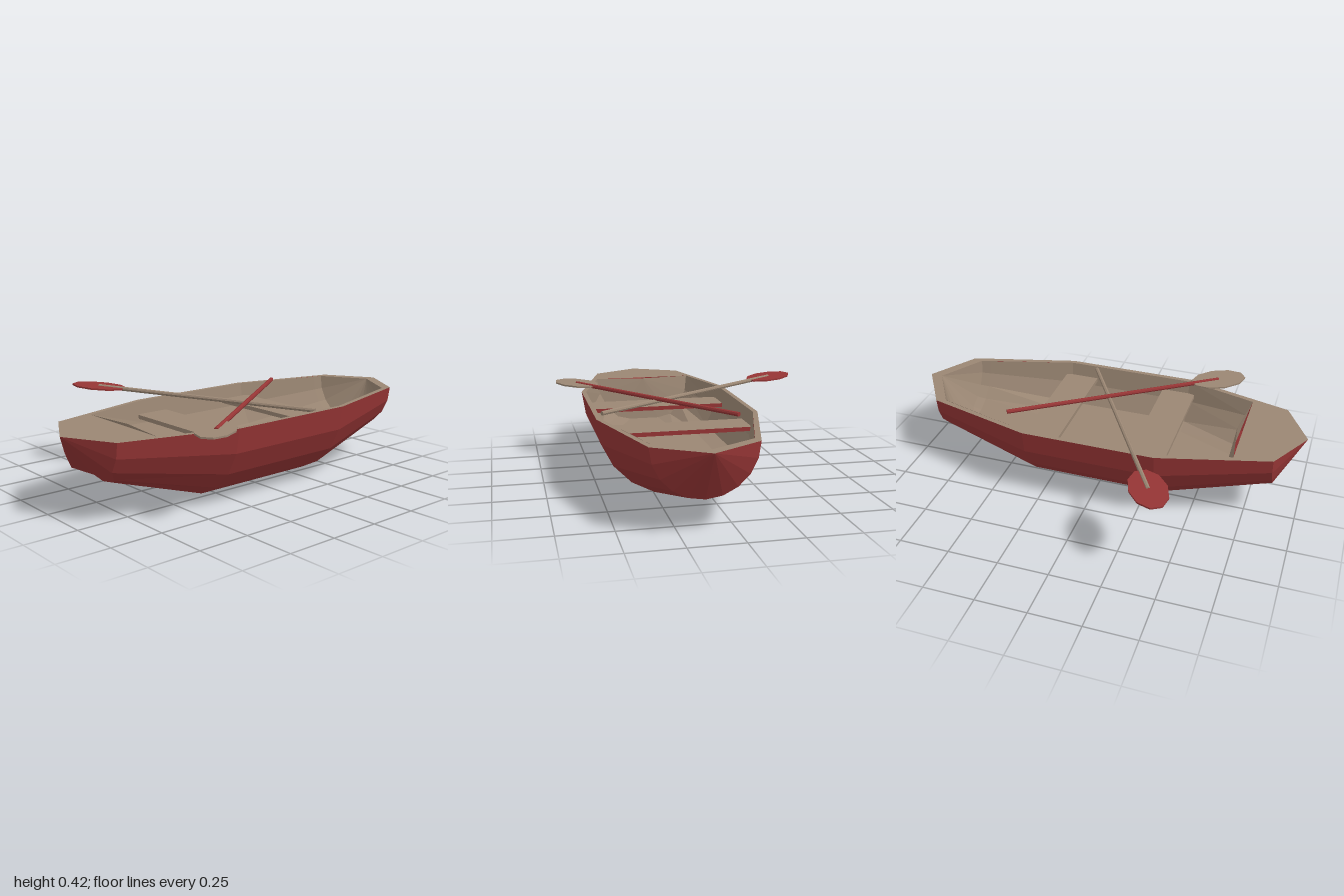
import * as THREE from 'three';

const RIM = 0.38, MID = 0.138, FLOOR = 0.155, SIDES = 10;
const paint = (color) => new THREE.MeshStandardMaterial({ color, flatShading: true, side: THREE.DoubleSide });
const red = paint(0x963535);
const wood = paint(0x9a8673);

// Half ring of radius r hanging below the rim; shift may move single points along x
function halfRing(x, r, floor = -1, shift = () => 0) {
  return Array.from({ length: SIDES + 1 }, (_, i) => {
    const t = (i / SIDES) * Math.PI;
    const y = Math.max(RIM - r * Math.sin(t), floor);
    return new THREE.Vector3(x + shift(i, y), y, MID + r * Math.cos(t));
  });
}

// Skin between successive rings, facing outward or inward
function loft(rings, inward = false) {
  const pos = [];
  const tri = (a, b, c) => (inward ? [a, c, b] : [a, b, c]).forEach((p) => pos.push(p.x, p.y, p.z));
  for (let k = 0; k < rings.length - 1; k++) {
    const a = rings[k], b = rings[k + 1];
    for (let i = 0; i < SIDES; i++) {
      tri(a[i], a[i + 1], b[i]);
      tri(a[i + 1], b[i + 1], b[i]);
    }
  }
  const g = new THREE.BufferGeometry();
  g.setAttribute('position', new THREE.Float32BufferAttribute(pos, 3));
  g.computeVertexNormals();
  return g;
}

function add(parent, name, geometry, material) {
  const mesh = new THREE.Mesh(geometry, material);
  mesh.name = name;
  parent.add(mesh);
  return mesh;
}

// Symmetric outline in plan from (x, half width) points, running from one end to the other
function outline(points) {
  const back = points.filter(([, w]) => w > 0).reverse().map(([x, w]) => [x, -w]);
  return [...points, ...back].map(([x, w]) => new THREE.Vector2(x, w));
}

// Oar with its blade centred on `from` and its handle ending at `to`
function makeOar(name, from, to, shaftMaterial, bladeMaterial, radius) {
  const oar = new THREE.Group();
  oar.name = name;
  const dir = to.clone().sub(from);
  const length = dir.length();
  const shaft = add(oar, 'oarShaft', new THREE.CylinderGeometry(radius, radius, length, 8), shaftMaterial);
  shaft.rotation.z = Math.PI / 2;
  shaft.position.x = length / 2;
  const blade = add(oar, 'oarBlade', new THREE.CylinderGeometry(1, 1, 0.008, SIDES), bladeMaterial);
  blade.scale.set(0.148, 1, 0.088);
  oar.position.copy(from);
  oar.quaternion.setFromUnitVectors(new THREE.Vector3(1, 0, 0), dir.normalize());
  return oar;
}

export function createModel() {
  const boat = new THREE.Group();
  boat.name = 'rowingBoat';

  // Outer hull, with the lower edge of one end cut back
  const cutBack = (i) => (i >= 4 && i <= 6 ? 0.075 : i === 3 ? 0.04 : 0);
  add(boat, 'hull', loft([
    halfRing(-1, 0),
    halfRing(-0.872, 0.235, -1, cutBack),
    halfRing(-0.34, 0.38),
    halfRing(0.32, 0.38),
    halfRing(0.852, 0.235),
    halfRing(1, 0),
  ]), red);

  // Inner lining with flat floor; the first two rings form the leaning bulkhead
  const lean = (i, y) => 0.06 * (RIM - y) / (RIM - FLOOR);
  add(boat, 'innerLining', loft([
    halfRing(-0.66, 0),
    halfRing(-0.69, 0.258, FLOOR, lean),
    halfRing(-0.335, 0.357, FLOOR),
    halfRing(0.32, 0.357, FLOOR),
    halfRing(0.76, 0.231, FLOOR),
    halfRing(0.805, 0.22, FLOOR),
    halfRing(0.94, 0),
  ], true), wood);

  // Rim and end deck in one flat plate
  const plate = new THREE.Shape(outline([
    [-1, 0], [-0.872, 0.235], [-0.34, 0.38], [0.32, 0.38], [0.852, 0.235], [1, 0],
  ]));
  plate.holes.push(new THREE.Path(outline([
    [-0.69, 0.258], [-0.335, 0.357], [0.32, 0.357], [0.805, 0.22], [0.94, 0],
  ])));
  const rim = add(boat, 'rimAndDeck', new THREE.ShapeGeometry(plate).rotateX(-Math.PI / 2), wood);
  rim.position.set(0, RIM, MID);

  // Bench seats, red on the edge facing +x and below
  for (const x of [-0.282, 0.263]) {
    const seat = add(boat, 'seat', new THREE.BoxGeometry(0.175, 0.02, 0.69), [red, wood, wood, red, wood, wood]);
    seat.position.set(x, 0.305, MID);
  }

  // Crossed oars
  boat.add(makeOar('woodenShaftOar', new THREE.Vector3(-0.39, 0.412, -0.518),
    new THREE.Vector3(0.175, 0.375, 0.475), wood, red, 0.011));
  boat.add(makeOar('redShaftOar', new THREE.Vector3(-0.482, 0.401, 0.53),
    new THREE.Vector3(0.45, 0.401, -0.115), red, wood, 0.011));

  return boat;
}
